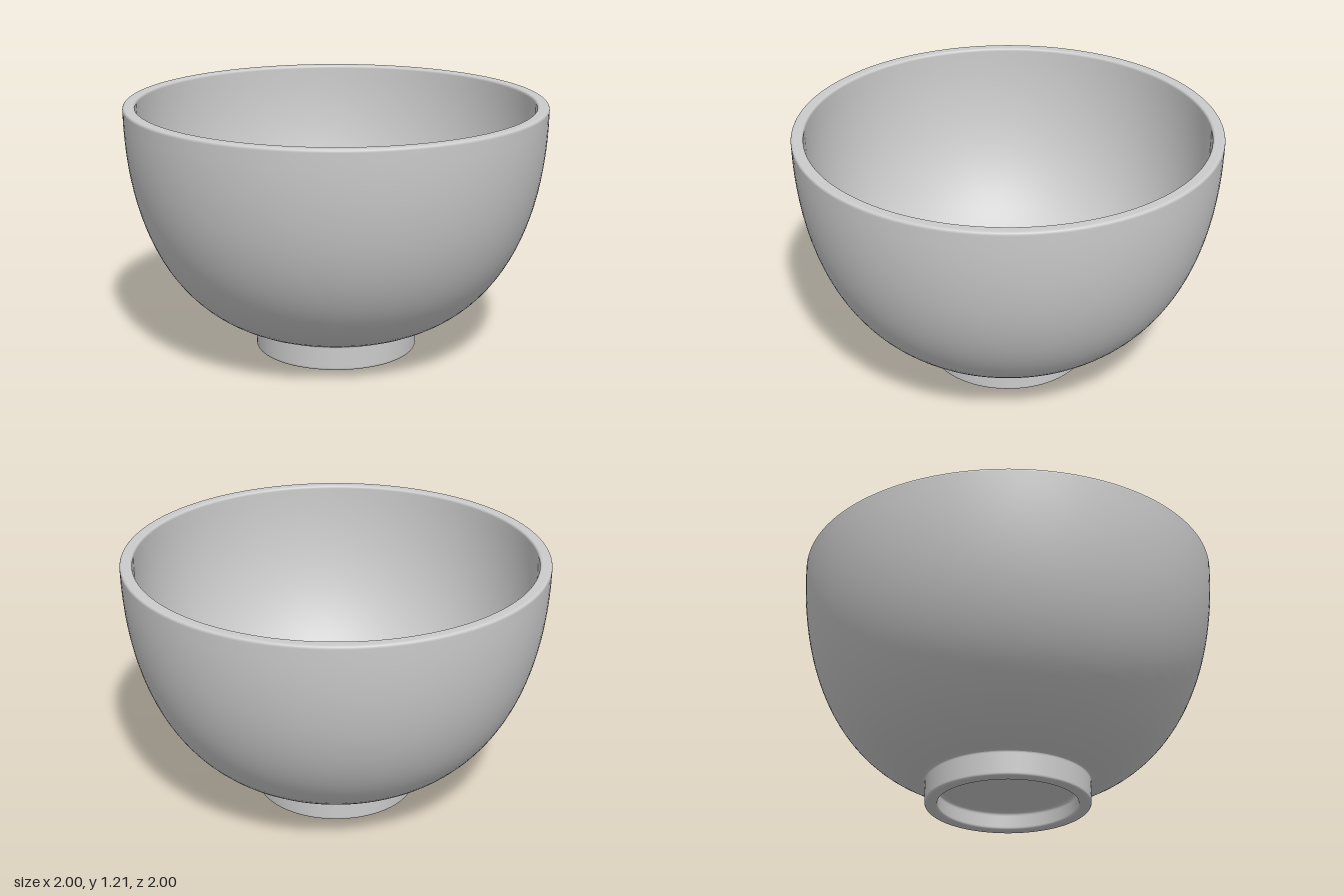
import * as THREE from 'three';

const material = new THREE.MeshStandardMaterial({ color: 0xcccccc });

// Revolve a path of (radius, height) around the y axis
function turned(name, path) {
  const mesh = new THREE.Mesh(new THREE.LatheGeometry(path.getPoints(24), 128), material);
  mesh.name = name;
  return mesh;
}

export function createModel() {
  const group = new THREE.Group();
  group.name = 'bowl';

  // Bowl wall: outside upward, rounded lip, inside down to the floor centre
  const wall = new THREE.Path();
  wall.moveTo(0.385, 0.105);
  wall.quadraticCurveTo(0.388, 0.12, 0.405, 0.125);
  wall.bezierCurveTo(0.8, 0.24, 1, 0.65, 1, 1.195);
  wall.quadraticCurveTo(1, 1.21, 0.985, 1.21);
  wall.lineTo(0.957, 1.21);
  wall.quadraticCurveTo(0.943, 1.21, 0.943, 1.195);
  wall.bezierCurveTo(0.943, 0.67, 0.77, 0.3, 0.4, 0.185);
  wall.quadraticCurveTo(0.22, 0.14, 0, 0.14);
  group.add(turned('bowlWall', wall));

  // Foot ring: recessed underside, inner wall, rounded bottom edge, outer wall
  const foot = new THREE.Path();
  foot.moveTo(0, 0.09);
  foot.lineTo(0.31, 0.09);
  foot.quadraticCurveTo(0.33, 0.09, 0.33, 0.07);
  foot.lineTo(0.33, 0.015);
  foot.quadraticCurveTo(0.33, 0, 0.345, 0);
  foot.lineTo(0.375, 0);
  foot.quadraticCurveTo(0.39, 0, 0.39, 0.015);
  foot.lineTo(0.39, 0.11);
  foot.quadraticCurveTo(0.39, 0.122, 0.402, 0.125);
  group.add(turned('footRing', foot));

  return group;
}
